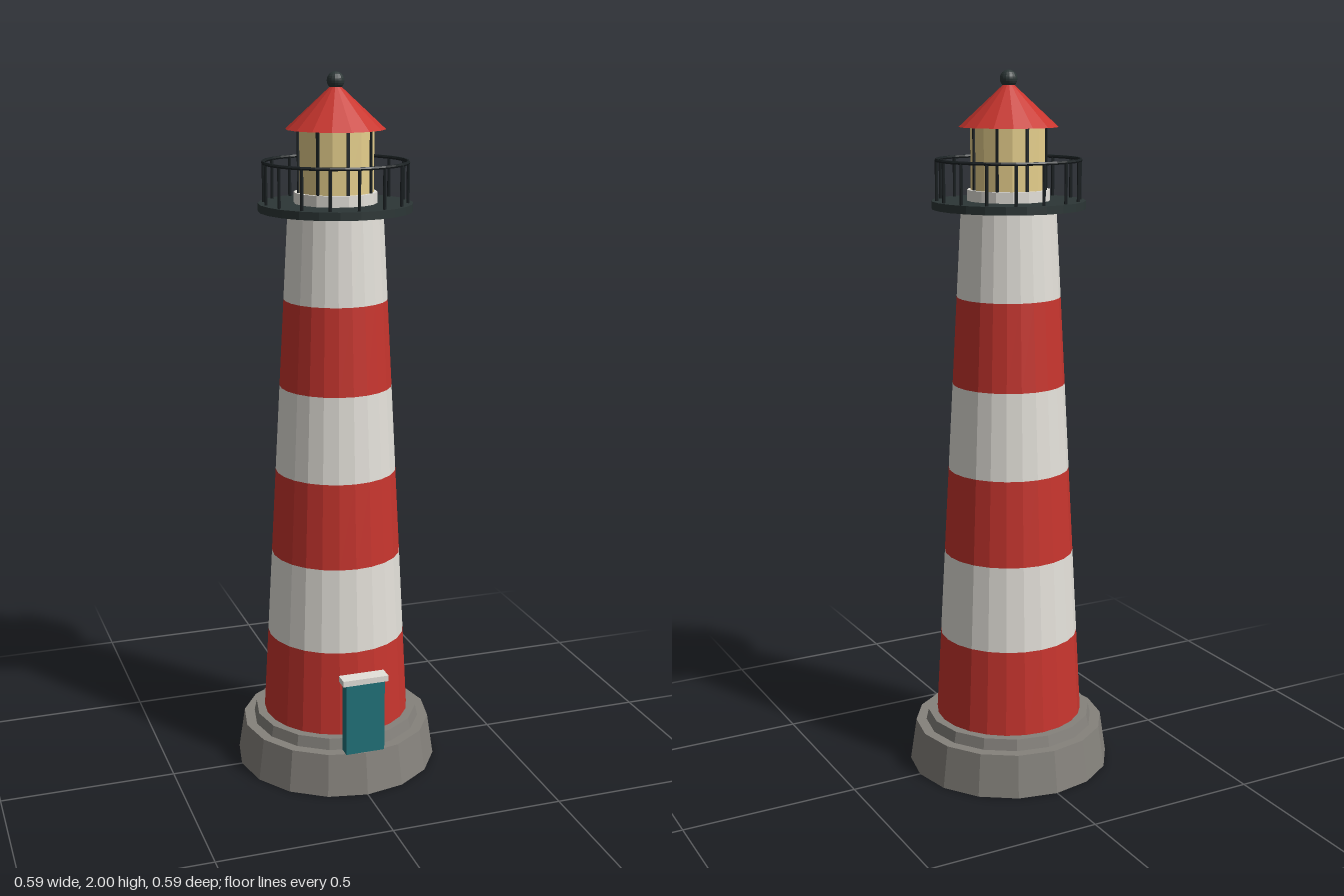
import * as THREE from 'three';

const flat = (name, color) => {
  const m = new THREE.MeshStandardMaterial({ color, flatShading: true });
  m.name = name;
  return m;
};

export function createModel() {
  const white = flat('white', 0xe4e1da);
  const red = flat('red', 0xc8352e);
  const stone = flat('stone', 0x85827c);
  const iron = flat('iron', 0x2c3636);
  const railIron = flat('railIron', 0x1b2123);
  const teal = flat('teal', 0x21727a);
  const glass = flat('lampGlass', 0xe6cf8c);

  const root = new THREE.Group();
  root.name = 'lighthouse';

  const add = (name, geometry, material, x = 0, y = 0, z = 0, parent = root) => {
    const mesh = new THREE.Mesh(geometry, material);
    mesh.name = name;
    mesh.position.set(x, y, z);
    parent.add(mesh);
    return mesh;
  };
  // Upright drum between two heights
  const drum = (name, rTop, rBottom, y0, y1, sides, material, open = false) =>
    add(name, new THREE.CylinderGeometry(rTop, rBottom, y1 - y0, sides, 1, open), material, 0, (y0 + y1) / 2, 0);

  // Stone footing
  drum('base', 0.275, 0.293, 0, 0.122, 16, stone);
  drum('baseStep', 0.238, 0.245, 0.122, 0.154, 16, stone);

  // Tapered tower in six alternating bands
  const bands = 6, bottom = 0.154, top = 1.63;
  const radius = (t) => THREE.MathUtils.lerp(0.212, 0.132, t);
  for (let i = 0; i < bands; i++) {
    const a = i / bands, b = (i + 1) / bands;
    drum('towerBand', radius(b), radius(a), THREE.MathUtils.lerp(bottom, top, a),
      THREE.MathUtils.lerp(bottom, top, b), 24, i % 2 ? white : red, true);
  }

  // Door with lintel
  add('door', new THREE.BoxGeometry(0.114, 0.213, 0.035), teal, 0, 0.2285, 0.252);
  add('doorLintel', new THREE.BoxGeometry(0.134, 0.017, 0.042), white, 0, 0.342, 0.251);

  // Gallery deck
  drum('galleryDeck', 0.213, 0.213, 1.628, 1.65, 24, iron);

  // Railing
  const railing = new THREE.Group();
  railing.name = 'railing';
  root.add(railing);
  const rail = add('handRail', new THREE.TorusGeometry(0.198, 0.005, 6, 32), railIron, 0, 1.76, 0, railing);
  rail.rotation.x = Math.PI / 2;
  const postGeometry = new THREE.CylinderGeometry(0.0045, 0.0045, 0.11, 6);
  for (let i = 0; i < 16; i++) {
    const a = (i / 16) * Math.PI * 2;
    add('railPost', postGeometry, railIron, 0.198 * Math.sin(a), 1.705, 0.198 * Math.cos(a), railing);
  }

  // Lantern room
  drum('lanternBase', 0.115, 0.115, 1.65, 1.68, 16, white);
  drum('lanternGlass', 0.105, 0.105, 1.68, 1.85, 16, glass);
  const barGeometry = new THREE.BoxGeometry(0.008, 0.17, 0.008);
  for (let i = 0; i < 8; i++) {
    const a = (i / 8) * Math.PI * 2;
    add('glazingBar', barGeometry, railIron, 0.105 * Math.sin(a), 1.765, 0.105 * Math.cos(a)).rotation.y = a;
  }

  // Roof and finial
  add('roof', new THREE.ConeGeometry(0.137, 0.126, 16), red, 0, 1.911, 0);
  add('finial', new THREE.SphereGeometry(0.024, 16, 12), iron, 0, 1.976, 0);

  return root;
}
